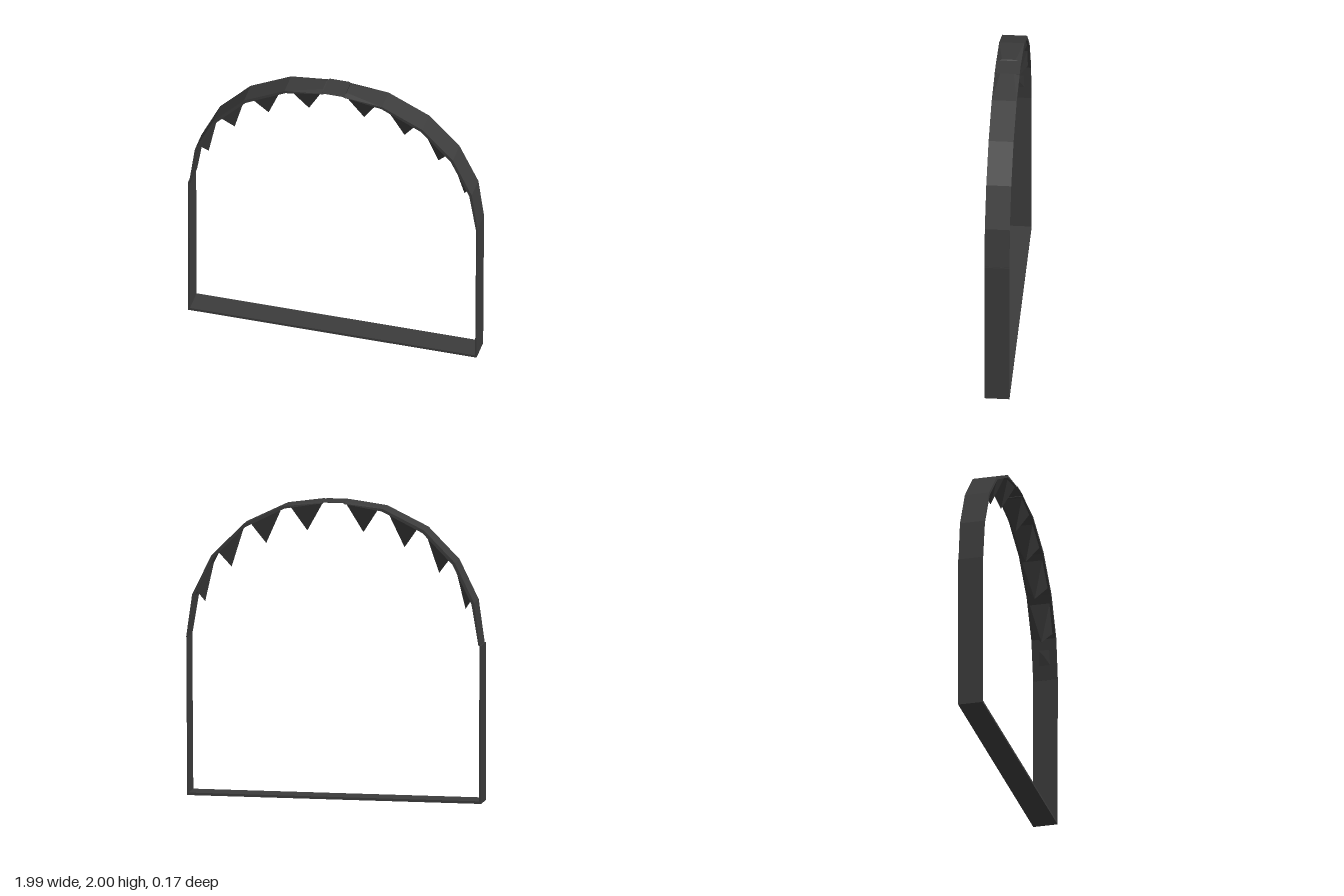
import * as THREE from 'three';
import { ConvexGeometry } from 'three/addons/geometries/ConvexGeometry.js';

const DEPTH = 0.083; // half depth of the band
const CX = 0.005;    // middle of the arch
const material = new THREE.MeshStandardMaterial({ color: 0x3c3c3c, flatShading: true });

function hull(name, points) {
  const mesh = new THREE.Mesh(new ConvexGeometry(points.map(p => new THREE.Vector3(...p))), material);
  mesh.name = name;
  return mesh;
}

// Two copies of each [x, y, halfDepth] point, one in front and one behind
const mirrorZ = pts => pts.flatMap(([x, y, z]) => [[x, y, z], [x, y, -z]]);

export function createModel() {
  const group = new THREE.Group();

  // Floor bar and upright walls
  group.add(hull('floorBar', mirrorZ([
    [-0.99, 0, DEPTH], [0.985, 0, DEPTH], [0.985, 0.017, DEPTH], [-0.99, 0.017, DEPTH]])));
  group.add(hull('rightWall', mirrorZ([
    [-0.993, 0, DEPTH], [-0.978, 0, DEPTH], [-0.981, 1.06, DEPTH], [-0.993, 1.06, DEPTH]])));
  group.add(hull('leftWall', mirrorZ([
    [0.978, 0, DEPTH], [0.988, 0, DEPTH], [0.994, 1.07, DEPTH], [0.985, 1.07, DEPTH]])));

  // Arch corners on the outer and inner faces, from the wall to the gap at the top
  const outer = [[0.991, 1.06], [0.951, 1.345], [0.822, 1.61], [0.613, 1.822], [0.335, 1.957], [0.082, 1.998]];
  const inner = [[0.98, 1.06], [0.933, 1.338], [0.805, 1.598], [0.602, 1.804], [0.33, 1.94], [0.07, 1.983]];

  // Teeth: base ends along the arch and the tip hanging straight down
  const teeth = [
    { base: [[0.978, 1.10], [0.943, 1.31]], tip: [0.948, 1.22] },
    { base: [[0.926, 1.375], [0.826, 1.57]], tip: [0.878, 1.29] },
    { base: [[0.776, 1.635], [0.63, 1.785]], tip: [0.70, 1.527] },
    { base: [[0.56, 1.835], [0.372, 1.928]], tip: [0.467, 1.692] },
    { base: [[0.292, 1.955], [0.085, 1.988]], tip: [0.19, 1.785] },
  ];

  for (const side of [-1, 1]) {
    const label = side < 0 ? 'right' : 'left';
    const place = ([x, y], z) => [CX + side * (x - 0.001), y, z];

    for (let i = 0; i < 5; i++) {
      const last = i === 4;
      const pts = [place(outer[i], DEPTH), place(inner[i], DEPTH), place(inner[i + 1], DEPTH)];
      // The top segment narrows along its upper face
      if (last) pts.push(place(outer[5], 0.045), place([0.07, 1.985], DEPTH));
      else pts.push(place(outer[i + 1], DEPTH));
      group.add(hull(label + 'ArchSegment' + (i + 1), mirrorZ(pts)));

      const { base, tip } = teeth[i];
      group.add(hull(label + 'Tooth' + (i + 1), [
        ...mirrorZ(base.map(p => place(p, 0.073))), place(tip, 0)]));
    }
  }

  // Thin eight-sided plate closing the top
  const plate = [[0.07, DEPTH], [0.088, 0.045]];
  group.add(hull('topPlate', mirrorZ([-1, 1].flatMap(s => plate.flatMap(([x, z]) =>
    [[CX + s * x, 1.992, z], [CX + s * x, 1.988, z]])))));

  return group;
}
